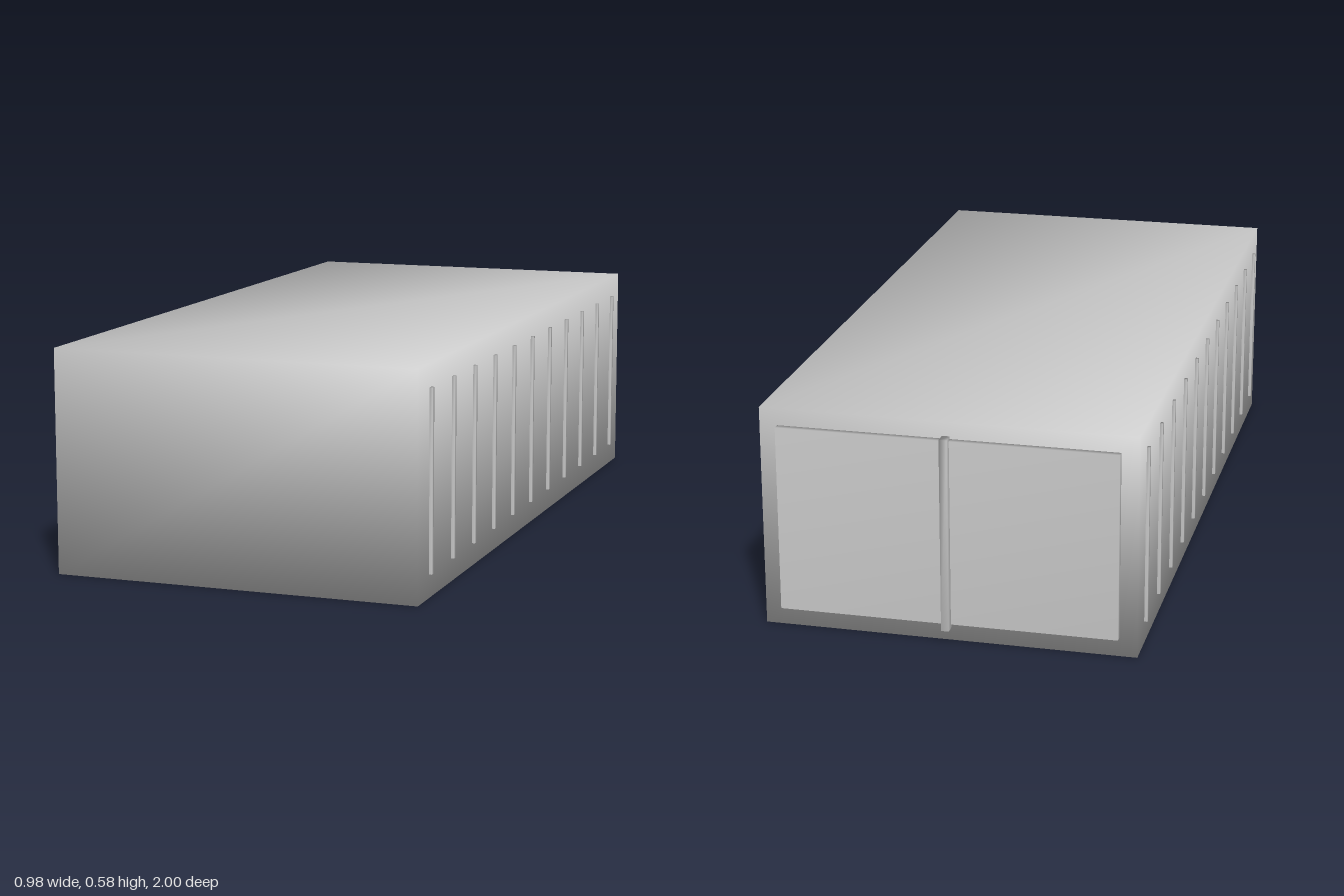
import * as THREE from 'three';
import { mergeVertices } from 'three/addons/utils/BufferGeometryUtils.js';

const material = new THREE.MeshStandardMaterial({ color: 0xcccccc });

// Box between two corners, with normals shared across its edges for soft shading
function softBox(name, [x0, y0, z0], [x1, y1, z1]) {
  let geometry = new THREE.BoxGeometry(x1 - x0, y1 - y0, z1 - z0);
  geometry.deleteAttribute('normal');
  geometry.deleteAttribute('uv');
  geometry = mergeVertices(geometry);
  geometry.computeVertexNormals();
  const mesh = new THREE.Mesh(geometry, material);
  mesh.name = name;
  mesh.position.set((x0 + x1) / 2, (y0 + y1) / 2, (z0 + z1) / 2);
  return mesh;
}

export function createModel() {
  const model = new THREE.Group();
  model.name = 'container';

  // Main body
  model.add(softBox('body', [-0.484, 0, -0.96], [0.484, 0.585, 1]));

  // Upright ribs along both sides
  const ribs = new THREE.Group();
  ribs.name = 'sideRibs';
  const count = 11;
  for (const side of [-1, 1]) {
    for (let i = 0; i < count; i++) {
      const z = 0.909 - i * 0.1775;
      const x = side * 0.484;
      ribs.add(softBox(side > 0 ? 'leftRib' : 'rightRib',
        [x - 0.008, 0.06, z - 0.006], [x + 0.008, 0.526, z + 0.006]));
    }
  }
  model.add(ribs);

  // Door panel on the back, with the post over its middle seam
  model.add(softBox('door', [-0.438, 0.05, -0.978], [0.438, 0.54, -0.958]));
  model.add(softBox('doorPost', [-0.01, 0.04, -1], [0.01, 0.55, -0.968]));

  return model;
}
